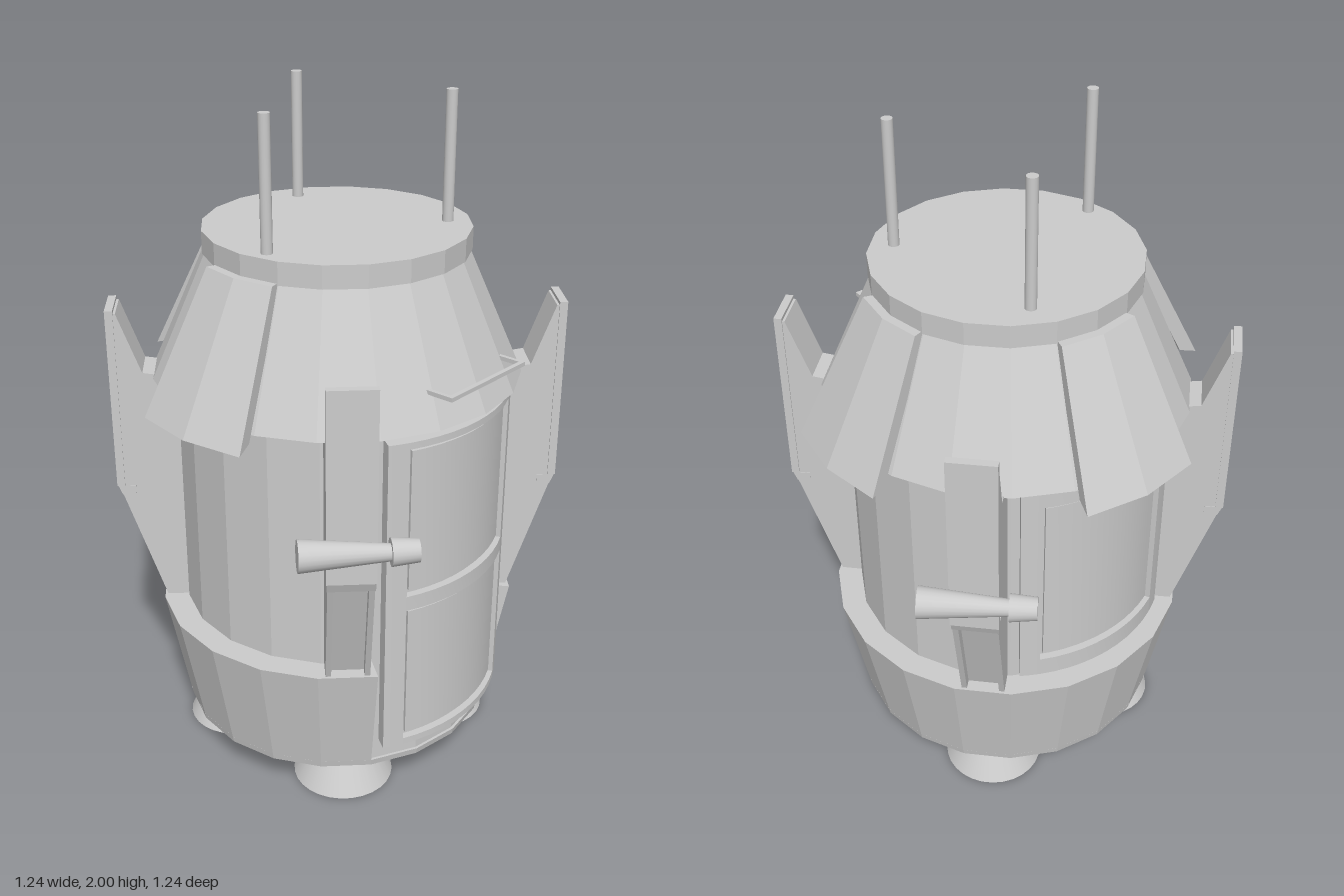
import * as THREE from 'three';
import { mergeGeometries, toCreasedNormals } from 'three/addons/utils/BufferGeometryUtils.js';

const RAD = Math.PI / 180;
const flat = new THREE.MeshStandardMaterial({ color: 0xcccccc, flatShading: true });
const smooth = new THREE.MeshStandardMaterial({ color: 0xcccccc });

function add(parent, name, geometry, material = flat, x = 0, y = 0, z = 0) {
  const mesh = new THREE.Mesh(geometry, material);
  mesh.name = name;
  mesh.position.set(x, y, z);
  parent.add(mesh);
  return mesh;
}

function group(parent, name) {
  const g = new THREE.Group();
  g.name = name;
  parent.add(g);
  return g;
}

// Solid swept round y from a closed [radius, y] profile (counter-clockwise), angles in degrees from +z
function sector(profile, from, to, segments) {
  const pts = profile.map(([r, y]) => new THREE.Vector2(r, y));
  const parts = [new THREE.LatheGeometry([...pts, pts[0]], segments, from * RAD, (to - from) * RAD)];
  [from, to].forEach((angle, end) => {
    const cap = new THREE.ShapeGeometry(new THREE.Shape(pts));
    if (end) cap.index.array.reverse();
    parts.push(cap.rotateY(angle * RAD - Math.PI / 2));
  });
  return toCreasedNormals(mergeGeometries(parts), 30 * RAD);
}

// Curved plate with constant radii
const plate = (r0, r1, y0, y1, from, to, segments = 8) =>
  sector([[r0, y0], [r1, y0], [r1, y1], [r0, y1]], from, to, segments);

// Curved door: backing, raised frame and one inset panel per [bottom, top] window
function makeDoor(parent, name, y0, y1, r, windows) {
  const door = group(parent, name);
  const outer = 33, inner = 26;
  add(door, 'doorBacking', plate(0.44, r - 0.022, y0, y1, -outer, outer, 12), smooth);
  for (const s of [-1, 1]) {
    const a = [s * inner, s * outer].sort((p, q) => p - q);
    add(door, 'doorStile', plate(0.44, r, y0, y1, a[0], a[1], 2), smooth);
  }
  const edges = [y0, ...windows.flat(), y1];
  for (let i = 0; i < edges.length; i += 2) {
    add(door, 'doorRail', plate(0.44, r, edges[i], edges[i + 1], -inner, inner, 10), smooth);
  }
  for (const [b, t] of windows) {
    add(door, 'doorPanel', plate(0.45, r - 0.012, b + 0.012, t - 0.012, -inner + 1.3, inner - 1.3, 10), smooth);
  }
  return door;
}

// Flat slab from a [radius, y] outline, centred across its width
function slab(points, width, offset = 0) {
  const shape = new THREE.Shape(points.map(([x, y]) => new THREE.Vector2(x, y)));
  return new THREE.ExtrudeGeometry(shape, { depth: width, bevelEnabled: false })
    .translate(0, 0, offset - width / 2);
}

// Diagonal fin: side cheeks, a solid core and a recessed lower panel
function makeFin(parent, angle) {
  const fin = group(parent, 'fin');
  const outline = [[0.43, 0.48], [0.525, 0.48], [0.642, 0.84], [0.642, 1.4], [0.625, 1.4], [0.56, 1.22], [0.43, 1.2]];
  const core = [[0.43, 0.48], [0.495, 0.48], [0.61, 0.84], [0.642, 0.84], [0.642, 1.4], [0.625, 1.4], [0.56, 1.22], [0.43, 1.2]];
  for (const s of [-1, 1]) add(fin, 'finCheek', slab(outline, 0.016, s * 0.055));
  add(fin, 'finCore', slab(core, 0.1));
  add(fin, 'finFacePlate', slab([[0.632, 0.86], [0.655, 0.86], [0.655, 1.41], [0.632, 1.41]], 0.133));
  add(fin, 'finLedge', slab([[0.6, 0.83], [0.64, 0.83], [0.652, 0.86], [0.6, 0.86]], 0.13));
  fin.rotation.y = angle * RAD - Math.PI / 2;
}

// Tapered rod between two points
function rod(parent, name, a, b, ra, rb) {
  const start = new THREE.Vector3(...a), end = new THREE.Vector3(...b);
  const dir = end.clone().sub(start);
  const mesh = add(parent, name, new THREE.CylinderGeometry(rb, ra, dir.length(), 20), smooth);
  mesh.position.copy(start).add(end).multiplyScalar(0.5);
  mesh.quaternion.setFromUnitVectors(new THREE.Vector3(0, 1, 0), dir.normalize());
}

export function createModel() {
  const model = new THREE.Group();
  model.name = 'capsule';

  // Hull: inner body, floor, conical roof and top cap
  add(model, 'body', new THREE.CylinderGeometry(0.466, 0.466, 1.1, 20), flat, 0, 0.67, 0);
  add(model, 'floor', new THREE.CylinderGeometry(0.474, 0.47, 0.02, 20), flat, 0, 0.125, 0);
  add(model, 'roof', new THREE.CylinderGeometry(0.372, 0.535, 0.365, 20), flat, 0, 1.3925, 0);
  add(model, 'topCap', new THREE.CylinderGeometry(0.38, 0.38, 0.065, 20), flat, 0, 1.6025, 0);

  // Flared skirt, open at the front for the door
  add(model, 'skirt', sector([[0.4, 0.115], [0.47, 0.115], [0.54, 0.48], [0.4, 0.48]], 36, 324, 16), flat);

  // Tall front door and shorter rear hatch
  makeDoor(model, 'frontDoor', 0.2, 1.18, 0.508, [[0.22, 0.66], [0.705, 1.16]]);
  makeDoor(model, 'rearHatch', 0.5, 1.18, 0.488, [[0.56, 1.13]]).rotation.y = Math.PI;

  // Roof flaps on the left, back and right
  for (const a of [90, 180, 270]) {
    add(model, 'roofFlap', sector([[0.555, 1.195], [0.609, 1.18], [0.405, 1.575], [0.36, 1.575]], a - 17.5, a + 17.5, 2));
  }

  for (const a of [45, 135, 225, 315]) makeFin(model, a);

  // Engine bells under the floor
  for (const x of [-0.23, 0.23]) for (const z of [-0.23, 0.23]) {
    add(model, 'engineBell', new THREE.CylinderGeometry(0.09, 0.15, 0.12, 28), smooth, x, 0.06, z);
  }

  // Side nozzles on two opposite fins
  for (const s of [1, -1]) {
    const nozzle = group(model, 'sideNozzle');
    rod(nozzle, 'nozzleCone', [-0.593 * s, 0.975, 0.392 * s], [-0.41 * s, 0.97, 0.552 * s], 0.044, 0.023);
    rod(nozzle, 'nozzleCap', [-0.412 * s, 0.97, 0.55 * s], [-0.356 * s, 0.97, 0.598 * s], 0.038, 0.031);
  }

  // Aerials
  for (const [x, z] of [[0.13, -0.27], [-0.33, 0.05], [0.22, 0.22]]) {
    add(model, 'aerial', new THREE.CylinderGeometry(0.016, 0.016, 0.38, 16), smooth, x, 1.81, z);
  }

  // Grab handle above the door
  const handle = group(model, 'grabHandle');
  add(handle, 'handleBar', new THREE.BoxGeometry(0.33, 0.012, 0.013), flat, 0, 1.307, 0.535);
  for (const x of [-0.159, 0.159]) {
    add(handle, 'handlePost', new THREE.BoxGeometry(0.012, 0.012, 0.1), flat, x, 1.307, 0.49);
  }
  return model;
}
